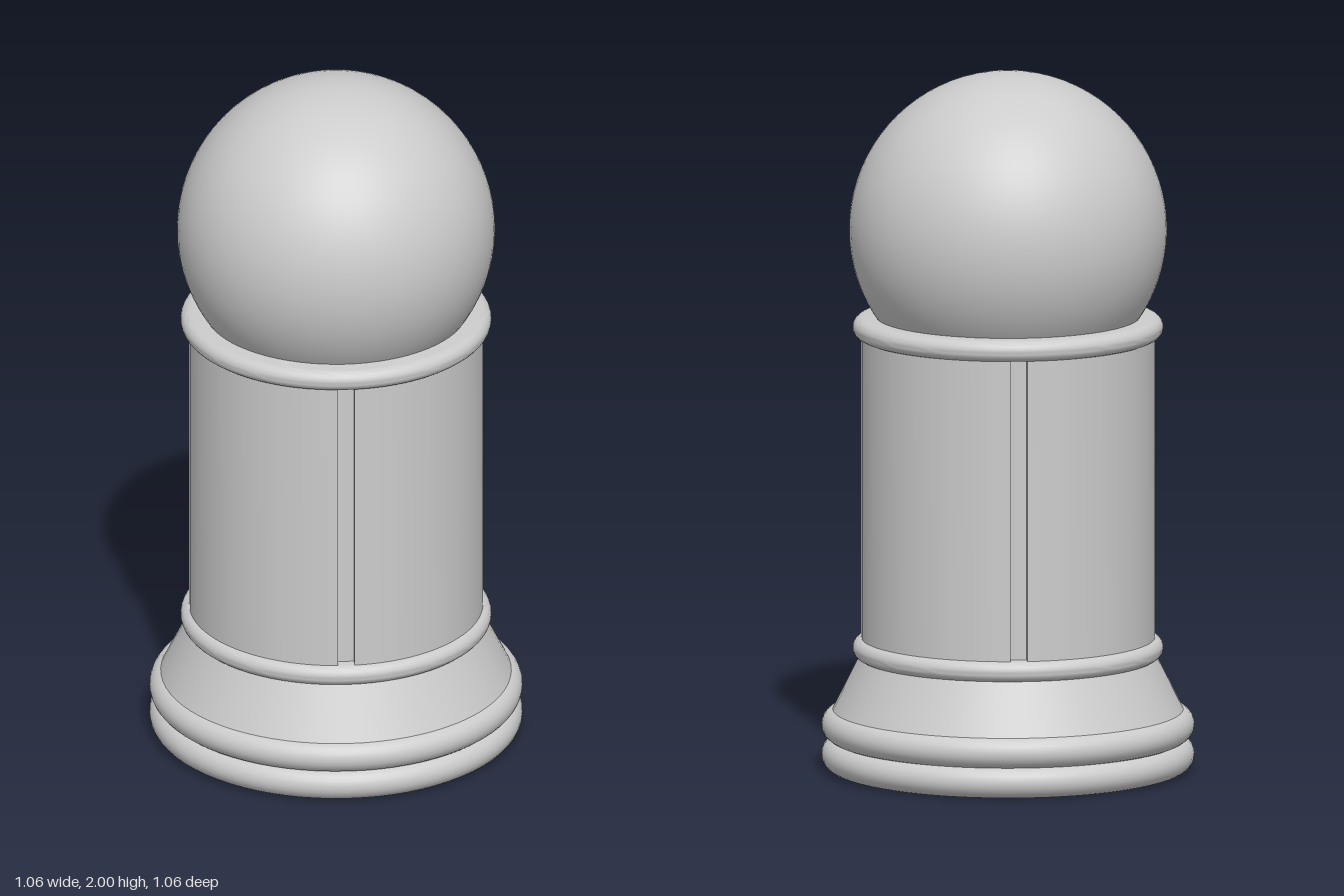
import * as THREE from 'three';
import { toCreasedNormals } from 'three/addons/utils/BufferGeometryUtils.js';

const material = new THREE.MeshStandardMaterial({ color: 0xcccccc });
const SEGMENTS = 72;

function add(group, name, geometry) {
  const mesh = new THREE.Mesh(geometry, material);
  mesh.name = name;
  group.add(mesh);
}

// Solid disc with a rounded rim, between heights y0 and y1.
function roundedDisc(radius, y0, y1) {
  const r = (y1 - y0) / 2;
  const points = [new THREE.Vector2(0, y0)];
  for (let i = 0; i <= 12; i++) {
    const a = -Math.PI / 2 + (i / 12) * Math.PI;
    points.push(new THREE.Vector2(radius - r + r * Math.cos(a), y0 + r + r * Math.sin(a)));
  }
  points.push(new THREE.Vector2(0, y1));
  return toCreasedNormals(new THREE.LatheGeometry(points, SEGMENTS), 0.6);
}

// Round shaft with four narrow upright grooves, one per side.
function groovedShaft(radius, floorRadius, grooveWidth, y0, y1) {
  const shape = new THREE.Shape();
  const outer = Math.asin(grooveWidth / 2 / radius);
  const inner = Math.asin(grooveWidth / 2 / floorRadius);
  for (let i = 0; i < 4; i++) {
    const a = i * Math.PI / 2;
    shape.absarc(0, 0, floorRadius, a - inner, a + inner, false);
    shape.absarc(0, 0, radius, a + outer, a + Math.PI / 2 - outer, false);
  }
  const geometry = new THREE.ExtrudeGeometry(shape, { depth: y1 - y0, bevelEnabled: false, curveSegments: 18 });
  geometry.rotateX(-Math.PI / 2).translate(0, y0, 0);
  return toCreasedNormals(geometry, 0.5);
}

export function createModel() {
  const group = new THREE.Group();
  group.name = 'ballTopPost';

  // Stepped base
  add(group, 'bottomMoulding', roundedDisc(0.528, 0, 0.09));
  add(group, 'baseMoulding', roundedDisc(0.528, 0.085, 0.175));
  const flare = new THREE.CylinderGeometry(0.415, 0.5, 0.17, SEGMENTS);
  flare.translate(0, 0.25, 0);
  add(group, 'flaredBase', flare);

  // Shaft between two rings
  add(group, 'lowerRing', roundedDisc(0.44, 0.32, 0.38));
  add(group, 'shaft', groovedShaft(0.416, 0.39, 0.048, 0.35, 1.27));
  add(group, 'upperRing', roundedDisc(0.44, 1.24, 1.3));

  // Ball on top
  const ball = new THREE.SphereGeometry(0.45, SEGMENTS, 40);
  ball.translate(0, 1.55, 0);
  add(group, 'ball', ball);

  return group;
}
